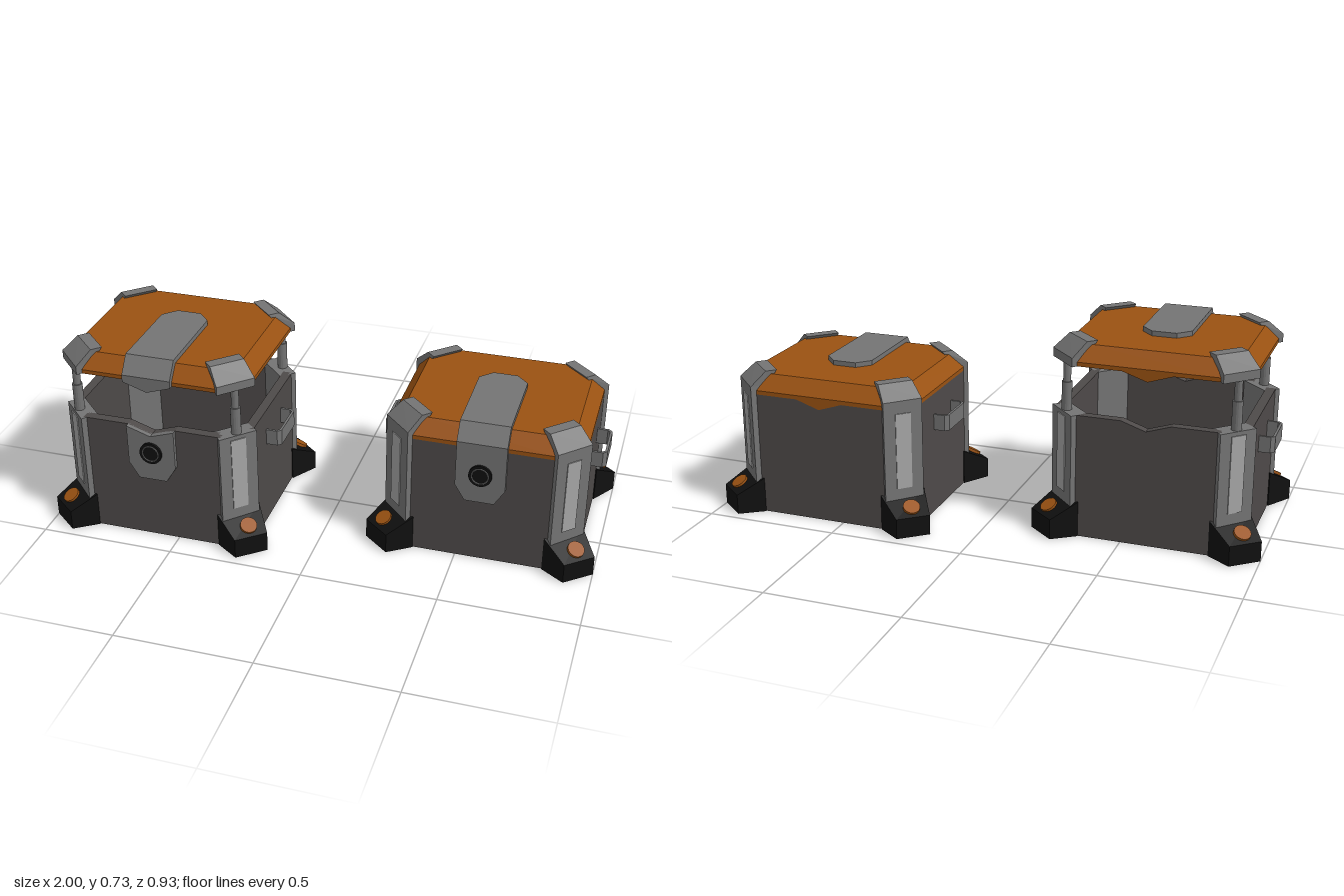
import * as THREE from 'three';

const mat = (color) => new THREE.MeshStandardMaterial({ color, flatShading: true });
const BODY = mat(0x4e4a49), ORANGE = mat(0x9a5212), GREY = mat(0x747474);
const LIGHT = mat(0xa6a6a6), BLACK = mat(0x101010);

function add(parent, name, geometry, material) {
  const mesh = new THREE.Mesh(geometry, material);
  mesh.name = name;
  parent.add(mesh);
  return mesh;
}

// Closed solid through a list of convex rings of [x, y, z] points
function loft(rings) {
  const n = rings[0].length;
  let area = 0;
  rings[0].forEach((p, i) => {
    const q = rings[0][(i + 1) % n];
    area += p[0] * q[2] - q[0] * p[2];
  });
  if (area < 0) rings = rings.map((r) => [...r].reverse());
  const out = [];
  const tri = (a, b, c) => out.push(...a, ...b, ...c);
  for (let k = 0; k < rings.length - 1; k++) {
    for (let i = 0; i < n; i++) {
      const j = (i + 1) % n, lo = rings[k], hi = rings[k + 1];
      tri(lo[i], hi[j], lo[j]);
      tri(lo[i], hi[i], hi[j]);
    }
  }
  const first = rings[0], last = rings[rings.length - 1];
  for (let i = 1; i < n - 1; i++) {
    tri(first[0], first[i], first[i + 1]);
    tri(last[0], last[i + 1], last[i]);
  }
  const g = new THREE.BufferGeometry();
  g.setAttribute('position', new THREE.Float32BufferAttribute(out, 3));
  g.computeVertexNormals();
  return g;
}

// Outline extruded along z, starting at z0
function prism(points, depth, z0 = 0) {
  const shape = new THREE.Shape(points.map(([x, y]) => new THREE.Vector2(x, y)));
  return new THREE.ExtrudeGeometry(shape, { depth, bevelEnabled: false }).translate(0, 0, z0);
}

// Rectangle with cut corners at height y
function octagon(hx, hz, c, y) {
  return [[hx, c - hz], [hx, hz - c], [hx - c, hz], [c - hx, hz],
    [-hx, hz - c], [-hx, c - hz], [c - hx, -hz], [hx - c, -hz]].map(([x, z]) => [x, y, z]);
}

const HX = 0.353, HZ = 0.31, CUT = 0.09, WALL = 0.035, RIM = 0.46;
const POST = [[0.225, 0.275], [0.264, 0.3275], [0.367, 0.2225], [0.318, 0.182]];
const CAP_TOP = [[0.195, 0.25], [0.225, 0.28], [0.317, 0.19], [0.287, 0.16]];
const FOOT = [[0.238, 0.314], [0.324, 0.373], [0.42, 0.293], [0.357, 0.195]];
const FOOT_TOP = [0.133, 0.075, 0.075, 0.133];

function corners(fn) {
  for (const sx of [-1, 1]) for (const sz of [-1, 1]) {
    fn((pts, y) => pts.map(([x, z], i) => [sx * x, Array.isArray(y) ? y[i] : y, sz * z]), sx, sz);
  }
}

function buildBody() {
  const g = new THREE.Group();
  g.name = 'body';
  add(g, 'floor', loft([octagon(HX, HZ, CUT, 0), octagon(HX, HZ, CUT, 0.03)]), BODY);

  // Front and back walls with a V notch, plain side walls
  const e = HX - CUT;
  const wall = [[-e, 0.01], [e, 0.01], [e, RIM], [0.09, RIM], [0, 0.43], [-0.09, RIM], [-e, RIM]];
  add(g, 'frontWall', prism(wall, WALL, HZ - WALL), BODY);
  add(g, 'backWall', prism(wall, WALL, -HZ), BODY);
  for (const s of [-1, 1]) {
    add(g, 'sideWall', new THREE.BoxGeometry(WALL, RIM - 0.01, 2 * (HZ - CUT)), BODY)
      .position.set(s * (HX - WALL / 2), (RIM + 0.01) / 2, 0);
    // Bracket handle
    const bracket = [[0.345, -0.086], [0.395, -0.086], [0.409, -0.072], [0.409, 0.072], [0.395, 0.086], [0.345, 0.086],
      [0.345, 0.077], [0.391, 0.077], [0.4, 0.068], [0.4, -0.068], [0.391, -0.077], [0.345, -0.077]];
    const handle = prism(bracket.map(([x, y]) => [s * x, y]), 0.06).rotateX(-Math.PI / 2);
    add(g, 'handle', handle, GREY).position.y = 0.322;
  }

  // Latch plate and round lock
  add(g, 'latchPlate', prism([[-0.09, RIM], [-0.09, 0.31], [-0.053, 0.25], [0.053, 0.25],
    [0.09, 0.31], [0.09, RIM], [0, 0.43]], 0.022, 0.304), GREY);
  add(g, 'lock', new THREE.CylinderGeometry(0.042, 0.042, 0.03, 24).rotateX(Math.PI / 2), BLACK)
    .position.set(0, 0.363, 0.32);
  add(g, 'lockRing', new THREE.TorusGeometry(0.03, 0.0025, 6, 24), GREY).position.set(0, 0.363, 0.335);

  corners((at, sx, sz) => {
    add(g, 'cornerPost', loft([at(POST, 0.02), at(POST, RIM)]), GREY);
    // Light strip on the diagonal face
    const strip = add(g, 'cornerStrip', new THREE.BoxGeometry(0.058, 0.285, 0.01), LIGHT);
    strip.position.set(sx * 0.3145, 0.3025, sz * 0.274);
    strip.rotation.y = Math.atan2(sx, sz);
    add(g, 'foot', loft([at(FOOT, 0), at(FOOT, FOOT_TOP)]), BLACK);
    // Round button on the sloping foot
    const button = add(g, 'footButton', new THREE.CylinderGeometry(0.031, 0.031, 0.018, 20), ORANGE);
    button.position.set(sx * 0.351, 0.097, sz * 0.3);
    button.quaternion.setFromUnitVectors(new THREE.Vector3(0, 1, 0),
      new THREE.Vector3(sx * 0.37, 1, sz * 0.44).normalize());
  });
  return g;
}

function buildLid() {
  const g = new THREE.Group();
  g.name = 'lid';
  // Hollow bevelled shell
  const ix = HX - WALL, iz = HZ - WALL;
  add(g, 'lidShell', loft([
    octagon(ix - 0.03, iz - 0.03, 0.07, 0.507), octagon(ix, iz, 0.08, RIM), octagon(HX, HZ, CUT, RIM),
    octagon(HX, HZ, CUT, 0.475), octagon(0.307, 0.265, 0.08, 0.53)]), ORANGE);

  // V tabs that fill the wall notches
  const tab = [[-0.09, 0.465], [-0.09, RIM], [0, 0.43], [0.09, RIM], [0.09, 0.465]];
  add(g, 'frontTab', prism(tab, WALL, HZ - WALL), ORANGE);
  add(g, 'backTab', prism(tab, WALL, -HZ), ORANGE);

  // Tongue folding over the top and front
  add(g, 'tongueFront', prism([[0.304, RIM], [0.327, RIM], [0.327, 0.487], [0.28, 0.548],
    [0.2, 0.548], [0.2, 0.522], [0.26, 0.522], [0.304, 0.475]], 0.18)
    .rotateY(-Math.PI / 2).translate(0.09, 0, 0), GREY);
  add(g, 'tongueTip', prism(tab, 0.023, 0.304), GREY);
  add(g, 'tongueTop', prism([[-0.09, -0.2], [0.09, -0.2], [0.09, 0.045], [0.045, 0.0925],
    [-0.045, 0.0925], [-0.09, 0.045]], 0.026).rotateX(-Math.PI / 2).translate(0, 0.522, 0), GREY);

  corners((at) => add(g, 'cornerCap',
    loft([at(POST, RIM), at(POST, 0.492), at(CAP_TOP, 0.543)]), GREY));
  return g;
}

function buildCrate(name, lift) {
  const g = new THREE.Group();
  g.name = name;
  const lid = buildLid();
  lid.position.y = lift;
  g.add(buildBody(), lid);
  // Telescopic rods hold the raised lid
  if (lift > 0) corners((at, sx, sz) => {
    for (const [r, y0, y1] of [[0.0185, 0.44, 0.565], [0.014, 0.56, 0.65]]) {
      const rod = new THREE.CylinderGeometry(r, r, y1 - y0, 16);
      add(g, 'liftRod', rod, GREY).position.set(sx * 0.303, (y0 + y1) / 2, sz * 0.2575);
    }
  });
  return g;
}

export function createModel() {
  const model = new THREE.Group();
  model.name = 'crates';
  const open = buildCrate('openCrate', 0.18);
  open.position.set(-0.581, 0, 0.094);
  const closed = buildCrate('closedCrate', 0);
  closed.position.set(0.581, 0, -0.094);
  model.add(open, closed);
  return model;
}
